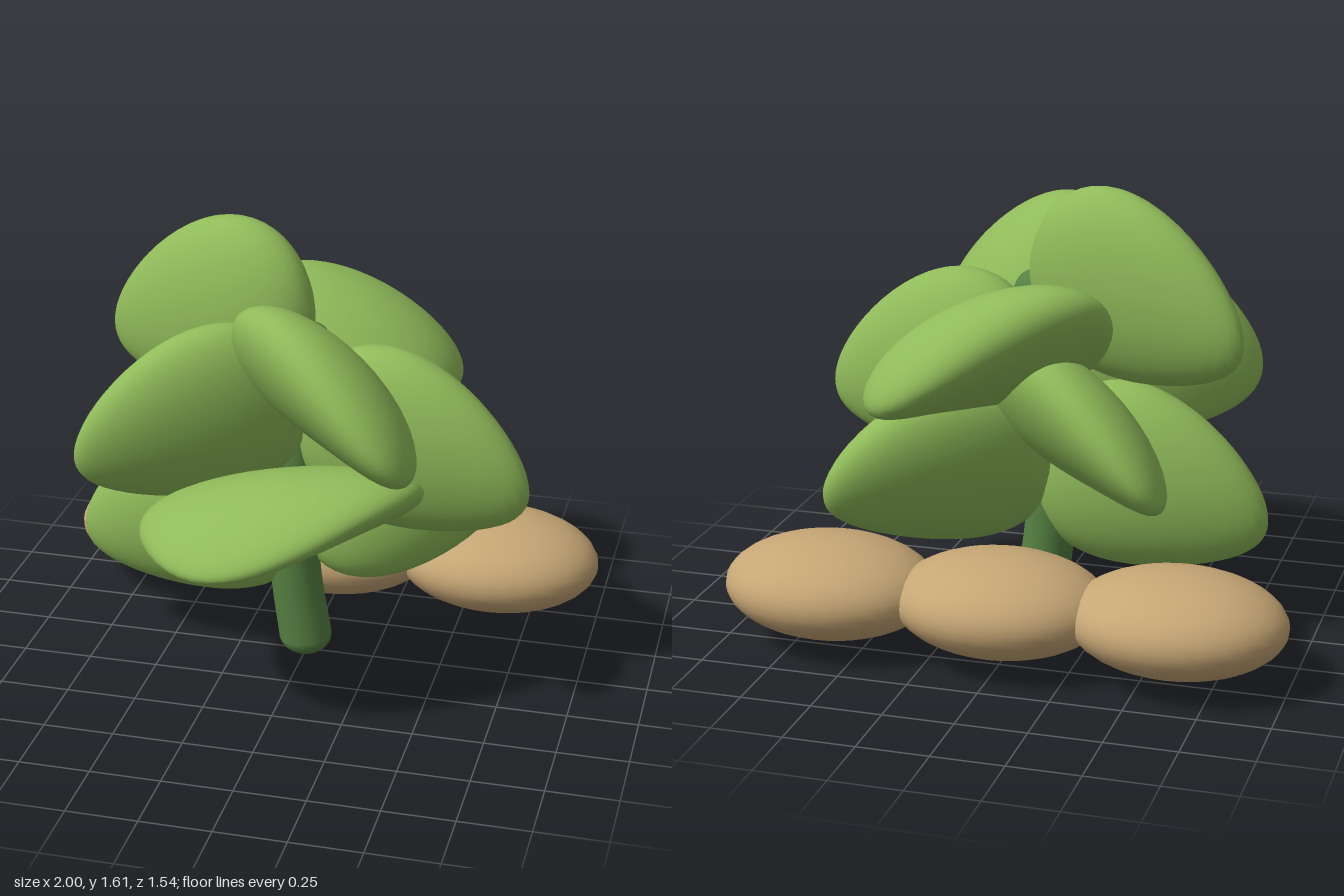
import * as THREE from 'three';
import { mergeVertices } from 'three/addons/utils/BufferGeometryUtils.js';

const leafGreen = new THREE.MeshStandardMaterial({ color: 0x8fba59 });
leafGreen.name = 'leafGreen';
const stemGreen = new THREE.MeshStandardMaterial({ color: 0x568142 });
stemGreen.name = 'stemGreen';
const stoneTan = new THREE.MeshStandardMaterial({ color: 0xc6a675 });
stoneTan.name = 'stoneTan';

function addMesh(parent, name, geometry, material) {
  const mesh = new THREE.Mesh(geometry, material);
  mesh.name = name;
  parent.add(mesh);
  return mesh;
}

// Plump leaf: a leaning ellipsoid given by its half extents and the lean
// between each pair of axes, then narrowed and drooped along its outward direction.
function leafGeometry([hx, hy, hz], [xy, xz, yz], droop, angle) {
  let geo = new THREE.SphereGeometry(1, 40, 28);
  geo.deleteAttribute('uv');
  geo.deleteAttribute('normal');
  geo = mergeVertices(geo, 1e-4);

  const yy = Math.sqrt(1 - xy * xy);
  const zy = (yz - xy * xz) / yy;
  const zz = Math.sqrt(1 - xz * xz - zy * zy);
  geo.applyMatrix4(new THREE.Matrix4().set(
    hx, 0, 0, 0,
    hy * xy, hy * yy, 0, 0,
    hz * xz, hz * zy, hz * zz, 0,
    0, 0, 0, 1));

  const p = geo.attributes.position;
  const c = Math.cos(angle), s = Math.sin(angle);
  for (let i = 0; i < p.count; i++) {
    const out = p.getX(i) * c + p.getZ(i) * s;
    const w = out / 0.42;
    const taper = 1 - 0.22 * w;
    const side = (p.getZ(i) * c - p.getX(i) * s) * taper;
    const y = p.getY(i) * taper + droop * (0.3 - w * w);
    p.setXYZ(i, out * c - side * s, y, out * s + side * c);
  }
  geo.computeVertexNormals();
  return geo;
}

// Leaves from lowest to highest: centre, half extents, leans (xy, xz, yz), droop
const LEAVES = [
  { at: [-0.40, 0.53, 0.01], half: [0.43, 0.335, 0.17], lean: [0.17, 0, 0], droop: 0.08 },
  { at: [0.30, 0.60, -0.25], half: [0.36, 0.31, 0.29], lean: [-0.14, -0.60, -0.30], droop: 0.07 },
  { at: [-0.03, 0.695, 0.38], half: [0.48, 0.175, 0.39], lean: [0.54, -0.10, 0.25], droop: 0.12 },
  { at: [-0.24, 0.80, -0.31], half: [0.36, 0.28, 0.30], lean: [0.52, 0.50, -0.10], droop: 0.11 },
  { at: [0.40, 0.88, 0.075], half: [0.42, 0.335, 0.175], lean: [-0.17, 0.30, 0.04], droop: 0.08 },
  { at: [-0.35, 0.975, 0.23], half: [0.38, 0.335, 0.235], lean: [0.22, -0.65, 0.10], droop: 0.08 },
  { at: [0.10, 1.045, -0.41], half: [0.40, 0.245, 0.32], lean: [-0.53, -0.30, -0.16], droop: 0.15 },
  { at: [0.185, 1.155, 0.385], half: [0.345, 0.28, 0.31], lean: [-0.52, 0.48, 0.10], droop: 0.11 },
  { at: [-0.38, 1.24, -0.125], half: [0.40, 0.335, 0.19], lean: [0.22, 0.56, 0.06], droop: 0.08 },
];
const GOLDEN_ANGLE = THREE.MathUtils.degToRad(137.5);

export function createModel() {
  const model = new THREE.Group();
  model.name = 'plantWithStones';

  // Curved stem with rounded ends
  const stem = new THREE.Group();
  stem.name = 'stem';
  model.add(stem);
  const path = new THREE.CatmullRomCurve3([
    new THREE.Vector3(0, 0.07, 0.012),
    new THREE.Vector3(-0.035, 0.32, 0.012),
    new THREE.Vector3(-0.045, 0.6, 0.01),
    new THREE.Vector3(-0.02, 0.9, 0),
    new THREE.Vector3(0.01, 1.205, -0.005),
  ]);
  const radiusAt = (t) => 0.095 - 0.017 * t;
  const tube = new THREE.TubeGeometry(path, 40, 1, 24);
  const p = tube.attributes.position;
  const v = new THREE.Vector3();
  for (let i = 0; i < p.count; i++) {
    const t = Math.floor(i / 25) / 40;
    const centre = path.getPointAt(t);
    v.fromBufferAttribute(p, i).sub(centre).multiplyScalar(radiusAt(t)).add(centre);
    p.setXYZ(i, v.x, v.y, v.z);
  }
  addMesh(stem, 'stemStalk', tube, stemGreen);
  for (const [name, t] of [['stemFoot', 0], ['stemTip', 1]]) {
    const cap = addMesh(stem, name, new THREE.SphereGeometry(radiusAt(t), 24, 16), stemGreen);
    cap.position.copy(path.getPointAt(t));
    cap.scale.y = t === 0 ? 0.74 : 1;
  }

  // Leaves spiralling up the stem
  const leaves = new THREE.Group();
  leaves.name = 'leaves';
  model.add(leaves);
  LEAVES.forEach(({ at, half, lean, droop }, i) => {
    const geo = leafGeometry(half, lean, droop, Math.PI + i * GOLDEN_ANGLE);
    addMesh(leaves, `leaf${i + 1}`, geo, leafGreen).position.set(...at);
  });

  // Row of flat stones behind the plant
  const stones = new THREE.Group();
  stones.name = 'stones';
  model.add(stones);
  for (const x of [-0.62, 0, 0.62]) {
    const stone = addMesh(stones, 'stone', new THREE.SphereGeometry(1, 32, 20), stoneTan);
    stone.scale.set(0.38, 0.175, 0.3);
    stone.position.set(x, 0.22, -0.472);
  }
  return model;
}
